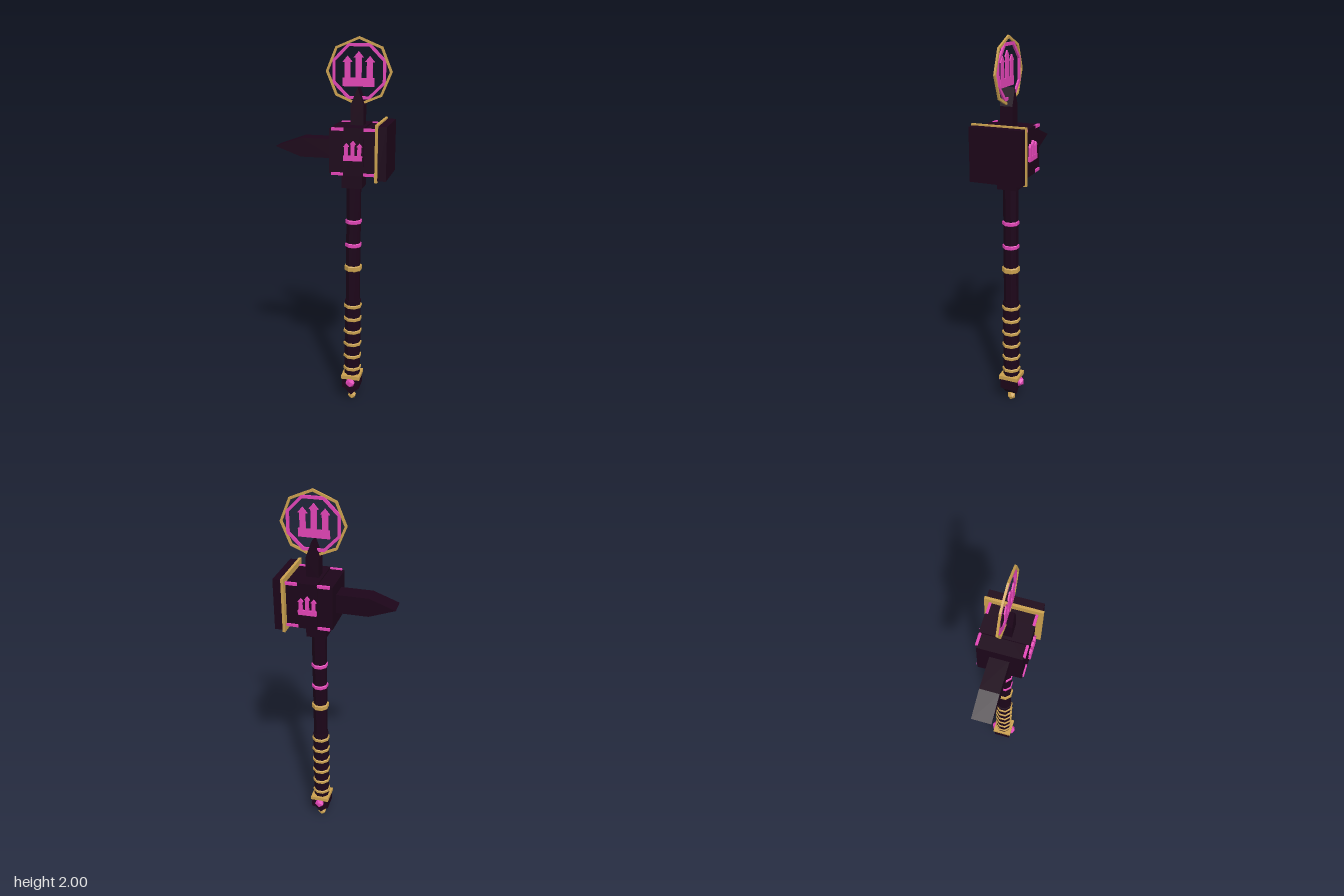
import * as THREE from 'three';

const mat = (name, color) => {
  const m = new THREE.MeshStandardMaterial({ color });
  m.name = name;
  return m;
};

export function createModel() {
  const dark = mat('dark plum', 0x1c0519);
  const pink = mat('magenta', 0xe244b6);
  const gold = mat('old gold', 0xcaa04e);
  const root = new THREE.Group();
  root.name = 'warHammer';
  const AX = 0.105; // handle axis
  const HX = 0.125; // head axis

  // Faceted mesh helper
  const add = (name, geo, material, x = 0, y = 0, z = 0, parent = root) => {
    const g = geo.index ? geo.toNonIndexed() : geo;
    g.computeVertexNormals();
    const mesh = new THREE.Mesh(g, material);
    mesh.name = name;
    mesh.position.set(x, y, z);
    parent.add(mesh);
  };
  // Box from its limits, centred on z = 0 unless moved
  const box = (name, material, x0, x1, y0, y1, halfZ, z = 0) =>
    add(name, new THREE.BoxGeometry(x1 - x0, y1 - y0, halfZ * 2), material, (x0 + x1) / 2, (y0 + y1) / 2, z);
  // Outline in x and y, extruded evenly about z = 0
  const prism = (points, depth, hole) => {
    const shape = new THREE.Shape(points.map(([x, y]) => new THREE.Vector2(x, y)));
    if (hole) shape.holes.push(new THREE.Path(hole.map(([x, y]) => new THREE.Vector2(x, y))));
    return new THREE.ExtrudeGeometry(shape, { depth, bevelEnabled: false }).translate(0, 0, -depth / 2);
  };
  // Eight-sided rod and chamfered ring around the handle
  const rod = (name, r, y0, y1) =>
    add(name, new THREE.CylinderGeometry(r, r, y1 - y0, 8).rotateY(Math.PI / 8), dark, AX, (y0 + y1) / 2, 0);
  const ring = (name, material, r, y, h) => {
    const profile = [[0.03, -h / 2], [r - 0.003, -h / 2], [r, -h * 0.36], [r, h * 0.36], [r - 0.003, h / 2], [0.03, h / 2]];
    const geo = new THREE.LatheGeometry(profile.map(([a, b]) => new THREE.Vector2(a, b)), 8);
    add(name, geo.rotateY(Math.PI / 8), material, AX, y, 0);
  };

  // Handle and grip
  rod('shaft', 0.039, 0.6, 1.27);
  rod('grip', 0.044, 0.14, 0.615);
  for (const y of [0.932, 1.062]) ring('shaftBand', pink, 0.0445, y, 0.022);
  ring('shaftCollar', gold, 0.048, 0.802, 0.029);
  for (let i = 0; i < 6; i++) ring('gripRing', gold, 0.05, 0.202 + i * 0.0758, 0.019);

  // Pommel
  box('pommelPlate', gold, AX - 0.052, AX + 0.052, 0.145, 0.166, 0.055);
  box('pommelBlock', dark, AX - 0.048, AX + 0.048, 0.088, 0.15, 0.048);
  add('pommelWedge', prism([[-0.042, 0.09], [-0.042, 0.08], [0, 0.037], [0.042, 0.08], [0.042, 0.09]], 0.064), dark, AX);
  add('pommelTip', new THREE.IcosahedronGeometry(0.025, 0), gold, AX, 0.0215, 0);
  for (const s of [1, -1]) add('pommelGem', new THREE.IcosahedronGeometry(0.029, 0), pink, AX, 0.125, s * 0.049);

  // Hammer head
  box('neck', dark, 0.052, 0.158, 1.25, 1.345, 0.053);
  box('headBlock', dark, 0, 0.24, 1.338, 1.564, 0.112);
  box('headBand', dark, 0.076, 0.176, 1.332, 1.572, 0.121);
  box('facePlateTrim', gold, 0.238, 0.252, 1.308, 1.594, 0.144);
  box('strikingFace', dark, 0.252, 0.295, 1.316, 1.586, 0.136);
  for (const y of [1.339, 1.563]) {
    for (const z of [-0.1135, 0.1135]) {
      for (const [x0, x1] of [[0.013, 0.076], [0.176, 0.238]]) box('edgeTrim', pink, x0, x1, y - 0.007, y + 0.007, 0.0065, z);
    }
  }

  // Side and top spikes, both ending in a chisel edge
  add('sideSpike', prism([[0.01, 1.402], [0.01, 1.5], [-0.165, 1.5], [-0.3, 1.451], [-0.165, 1.402]], 0.098), dark);
  add('topSpike', prism([[-0.033, 1.56], [0.033, 1.56], [0.033, 1.67], [0, 1.758], [-0.033, 1.67]], 0.066), dark, HX);

  // Three-pronged emblem: a bar with three arrow-headed prongs
  const emblem = (name, scale, depth, y, z) => {
    const g = new THREE.Group();
    g.name = name;
    g.position.set(HX, y, z);
    add('emblemBar', prism([[-0.08, 0], [0.08, 0], [0.08, 0.042], [-0.08, 0.042]], depth), pink, 0, 0, 0, g);
    for (const [x, top] of [[-0.056, 0.148], [0, 0.17], [0.056, 0.148]]) {
      const h = top - 0.03;
      const outline = [[-0.015, 0.04], [0.015, 0.04], [0.015, h], [0.025, h], [0, top], [-0.025, h], [-0.015, h]];
      add('emblemProng', prism(outline, depth), pink, x, 0, 0, g);
    }
    g.scale.set(scale, scale, 1);
    root.add(g);
  };
  for (const s of [1, -1]) emblem('headEmblem', 0.59, 0.014, 1.41, s * 0.126);
  emblem('crestEmblem', 1, 0.007, 1.76, 0.008);

  // Crest of two octagonal frames
  const octagon = (r, turn) => Array.from({ length: 8 }, (_, i) => {
    const a = turn + i * Math.PI / 4;
    return [r * Math.cos(a), r * Math.sin(a)];
  });
  add('crestOuterFrame', prism(octagon(0.168, 0), 0.01, octagon(0.155, 0)), gold, HX, 1.832, 0);
  add('crestInnerFrame', prism(octagon(0.146, Math.PI / 8), 0.01, octagon(0.13, Math.PI / 8)), pink, HX, 1.832, -0.002);

  return root;
}
